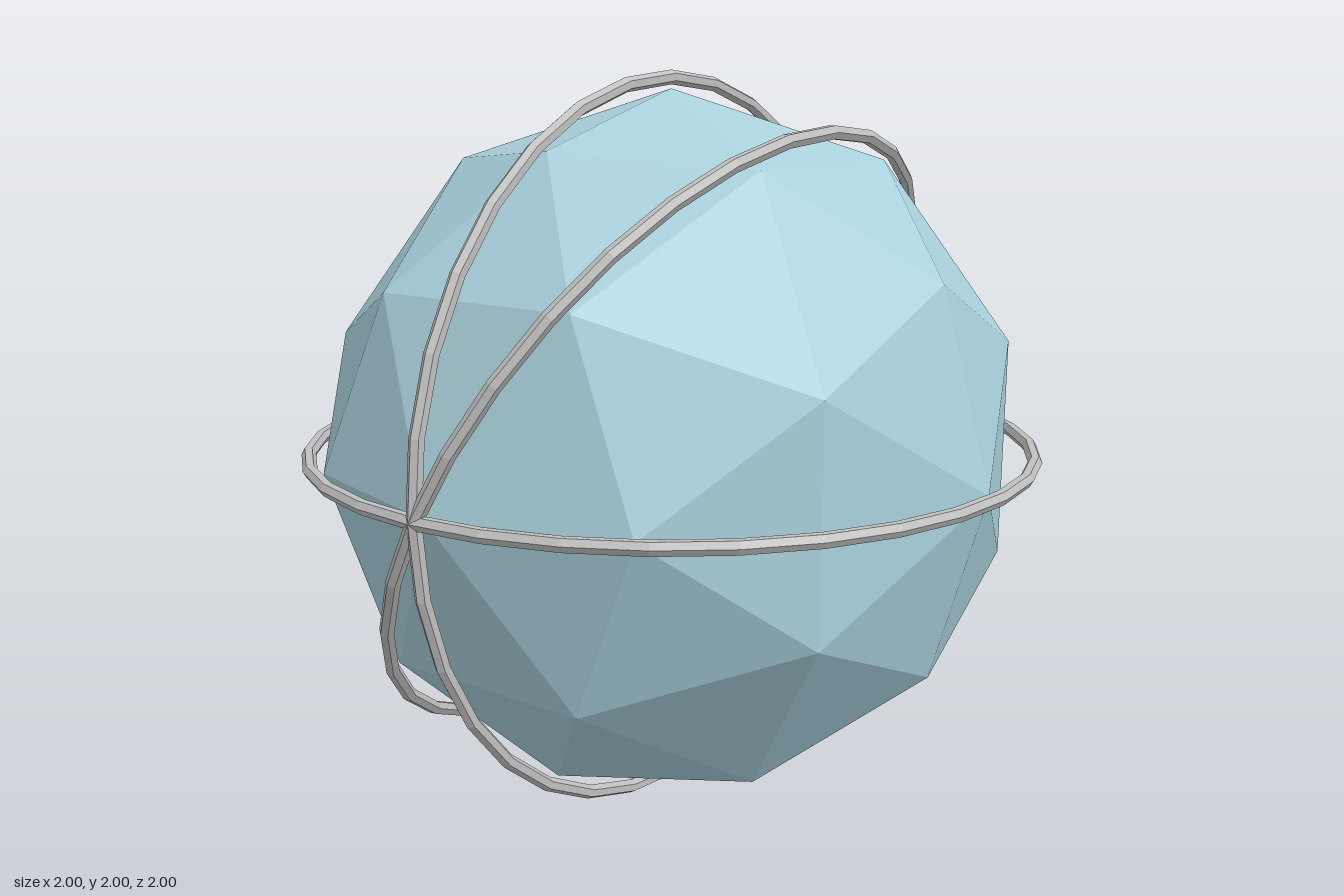
import * as THREE from 'three';

const RADIUS = 0.952;      // faceted globe
const RING_RADIUS = 0.981; // ring centre line
const RING_TUBE = 0.019;

export function createModel() {
  const model = new THREE.Group();
  model.name = 'ringedGlobe';

  const paleBlue = new THREE.MeshStandardMaterial({ name: 'paleBlue', color: 0xa9d0dc, flatShading: true });
  const silver = new THREE.MeshStandardMaterial({ name: 'silver', color: 0xc0c0c0, flatShading: true });

  // Faceted globe
  const globe = new THREE.Mesh(new THREE.IcosahedronGeometry(RADIUS, 1), paleBlue);
  globe.name = 'globe';
  globe.position.y = 1;
  model.add(globe);

  // Three thin rings sharing the x axis as a common diameter
  const ringGeometry = new THREE.TorusGeometry(RING_RADIUS, RING_TUBE, 6, 32);
  const tilts = { verticalRing: 0, tiltedRing: Math.PI / 6, horizontalRing: Math.PI / 2 };
  for (const [name, tilt] of Object.entries(tilts)) {
    const ring = new THREE.Mesh(ringGeometry, silver);
    ring.name = name;
    ring.position.y = 1;
    ring.rotation.x = tilt;
    model.add(ring);
  }

  return model;
}
